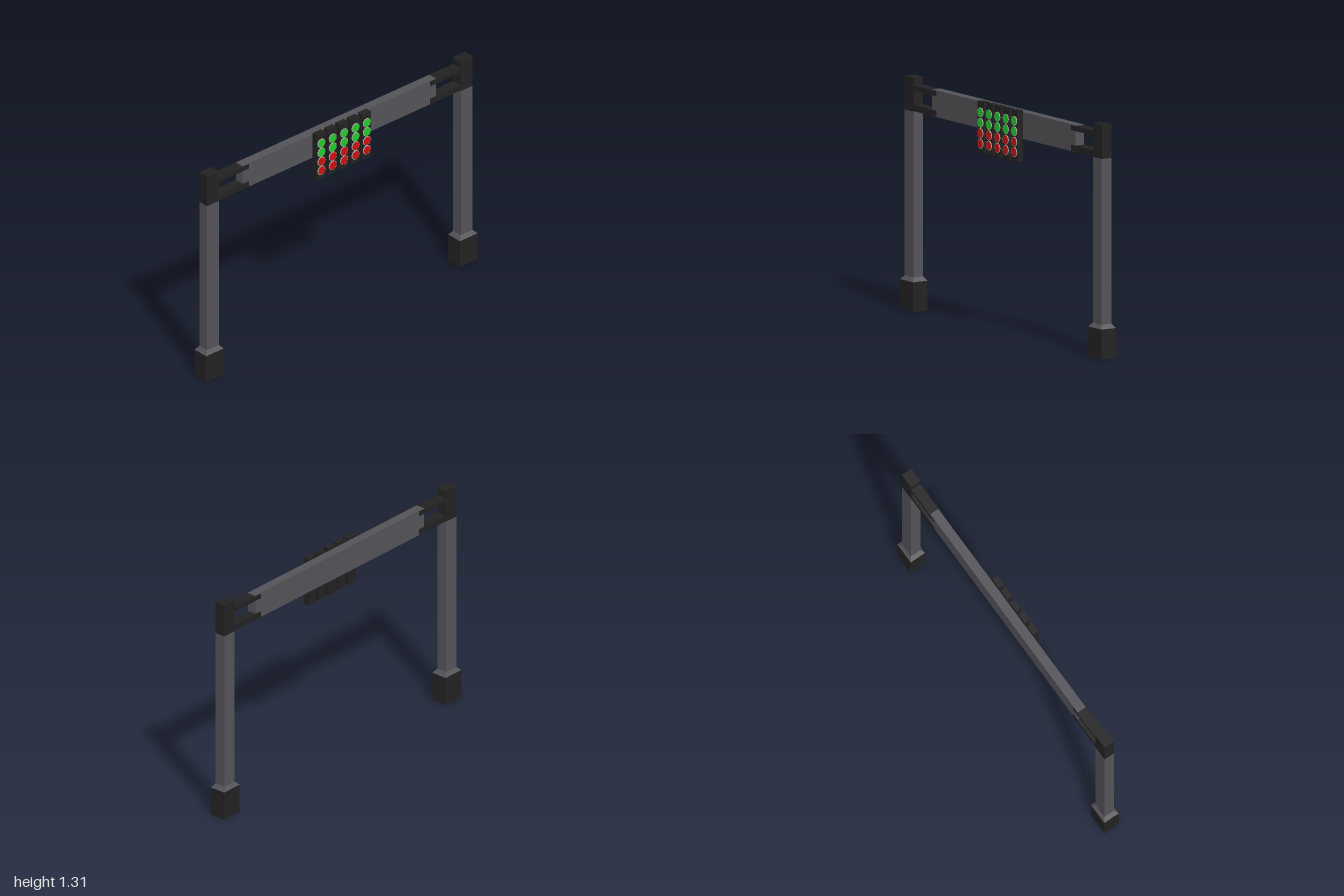
import * as THREE from 'three';

const mat = (name, color) => {
  const m = new THREE.MeshStandardMaterial({ color });
  m.name = name;
  return m;
};

export function createModel() {
  const grey = mat('steel grey', 0x545358);
  const dark = mat('charcoal', 0x222222);
  const rim = mat('pale rim', 0xb4b4aa);
  const green = mat('signal green', 0x22cc2a);
  const red = mat('signal red', 0xd01010);

  const model = new THREE.Group();
  model.name = 'startGantry';
  const CX = -0.013; // centre line of the frame

  // Box given by its extents on each axis
  function box(parent, name, material, [x0, x1], [y0, y1], [z0, z1]) {
    const mesh = new THREE.Mesh(new THREE.BoxGeometry(x1 - x0, y1 - y0, z1 - z0), material);
    mesh.position.set((x0 + x1) / 2, (y0 + y1) / 2, (z0 + z1) / 2);
    mesh.name = name;
    parent.add(mesh);
    return mesh;
  }

  // Two mirrored posts with their feet, caps and beam brackets
  for (const s of [1, -1]) {
    const post = new THREE.Group();
    post.name = s > 0 ? 'frontPost' : 'backPost';
    const zs = (a, b) => (s > 0 ? [a, b] : [-b, -a]);
    const footX = [CX - 0.049, CX + 0.049], postX = [CX - 0.032, CX + 0.032];

    box(post, 'foot', dark, footX, [0, 0.167], zs(0.87, 1));

    // Sloped collar: a box whose top shrinks to the post section
    const collar = box(post, 'collar', grey, footX, [0.167, 0.19], zs(0.87, 1));
    const p = collar.geometry.attributes.position;
    for (let i = 0; i < p.count; i++) {
      if (p.getY(i) > 0) {
        p.setX(i, p.getX(i) * 0.064 / 0.098);
        p.setZ(i, p.getZ(i) * 0.087 / 0.13);
      }
    }
    collar.geometry = collar.geometry.toNonIndexed();
    collar.geometry.computeVertexNormals();

    box(post, 'shaft', grey, postX, [0.19, 1.12], zs(0.892, 0.978));
    box(post, 'cap', dark, postX, [1.12, 1.31], zs(0.891, 0.979));
    box(post, 'upperBracket', dark, [CX - 0.031, CX + 0.031], [1.239, 1.267], zs(0.67, 0.892));
    box(post, 'lowerBracket', dark, [CX - 0.031, CX + 0.031], [1.123, 1.157], zs(0.67, 0.892));
    model.add(post);
  }

  // Cross beam
  box(model, 'crossBeam', grey, [CX - 0.027, CX + 0.027], [1.12, 1.271], [-0.712, 0.712]);

  // Five signal panels, each with two green lamps above two red ones
  const rimGeo = new THREE.CylinderGeometry(0.028, 0.028, 0.005, 12).rotateZ(-Math.PI / 2);
  const lensGeo = new THREE.CircleGeometry(0.0255, 12).rotateY(Math.PI / 2);
  for (let i = -2; i <= 2; i++) {
    const panel = new THREE.Group();
    panel.name = 'signalPanel';
    const z = 0.002 + i * 0.0838;
    box(panel, 'housing', dark, [0.018, 0.055], [0.994, 1.283], [z - 0.031, z + 0.031]);
    box(panel, 'mount', dark, [0.01, 0.02], [1.15, 1.24], [z - 0.015, z + 0.015]);
    for (let j = 0; j < 4; j++) {
      const y = 1.222 - j * 0.0583;
      const ring = new THREE.Mesh(rimGeo, rim);
      ring.name = 'lampRim';
      ring.position.set(0.0565, y, z);
      const lens = new THREE.Mesh(lensGeo, j < 2 ? green : red);
      lens.name = j < 2 ? 'greenLamp' : 'redLamp';
      lens.position.set(0.0597, y, z);
      panel.add(ring, lens);
    }
    model.add(panel);
  }
  return model;
}
